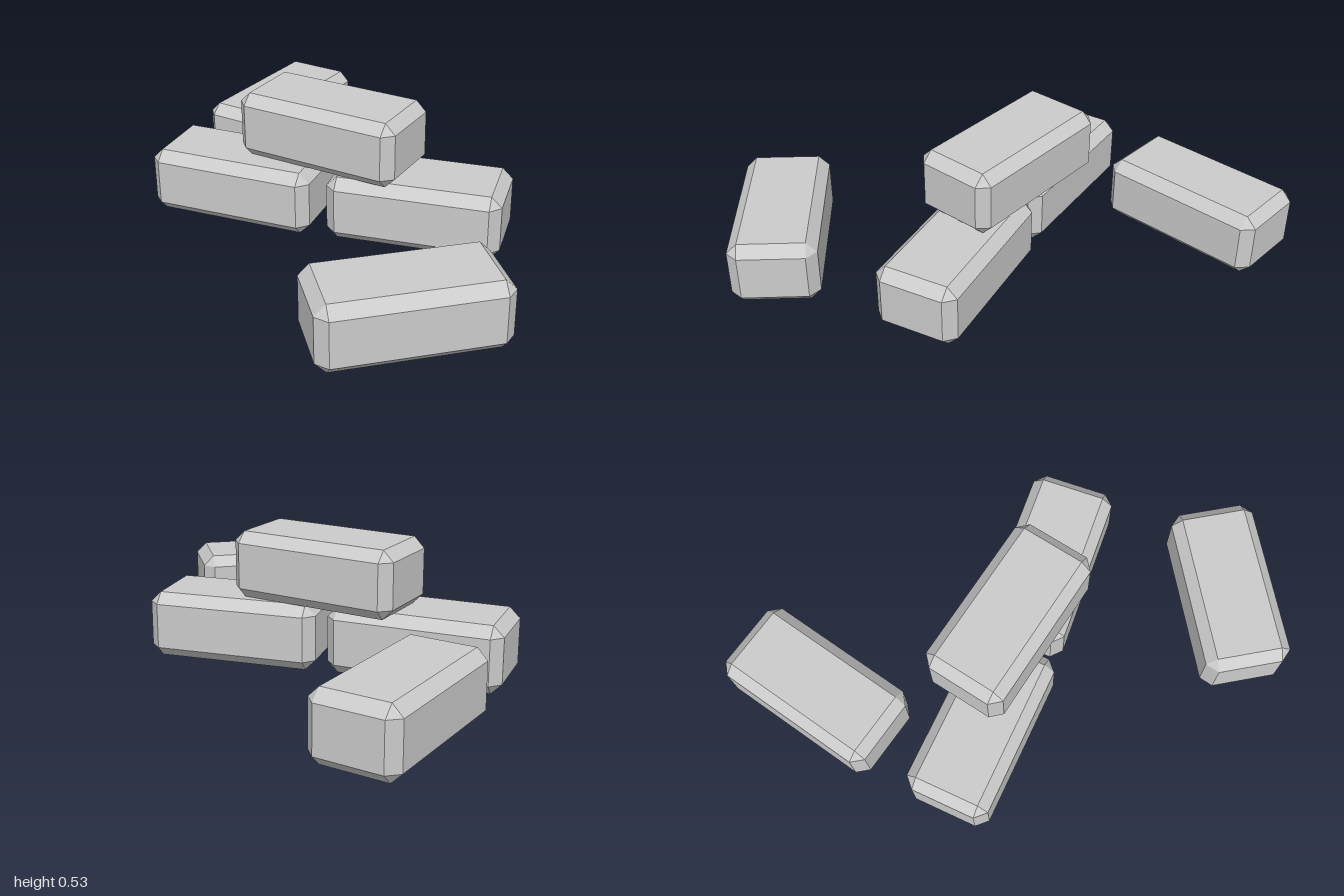
import * as THREE from 'three';
import { ConvexGeometry } from 'three/addons/geometries/ConvexGeometry.js';

const LENGTH = 0.69, HEIGHT = 0.265, WIDTH = 0.342, BEVEL = 0.042;

// Box with every edge chamfered: each corner becomes three points, one per face.
function chamferedBox(w, h, d, c) {
  const half = [w / 2, h / 2, d / 2];
  const points = [];
  for (const sx of [-1, 1]) for (const sy of [-1, 1]) for (const sz of [-1, 1]) {
    for (let face = 0; face < 3; face++) {
      const p = half.map((v, axis) => (axis === face ? v : v - c));
      points.push(new THREE.Vector3(p[0] * sx, p[1] * sy, p[2] * sz));
    }
  }
  return new ConvexGeometry(points);
}

export function createModel() {
  const group = new THREE.Group();
  group.name = 'brickPile';
  const material = new THREE.MeshStandardMaterial({ color: 0xcccccc, flatShading: true });
  const geometry = chamferedBox(LENGTH, HEIGHT, WIDTH, BEVEL);

  // name, x, layer, z, turn in degrees
  const bricks = [
    ['lowerRightBrick', -0.47, 0, 0.02, 0],
    ['lowerLeftBrick', 0.272, 0, -0.032, 5.2],
    ['topBrick', -0.097, 1, -0.032, -8.1],
    ['looseBackBrick', -0.6, 0, -0.641, 80],
    ['looseFrontBrick', 0.46, 0, 0.685, 35.2],
  ];
  for (const [name, x, layer, z, turn] of bricks) {
    const brick = new THREE.Mesh(geometry, material);
    brick.name = name;
    brick.position.set(x, HEIGHT * (layer + 0.5), z);
    brick.rotation.y = THREE.MathUtils.degToRad(turn);
    group.add(brick);
  }
  return group;
}
